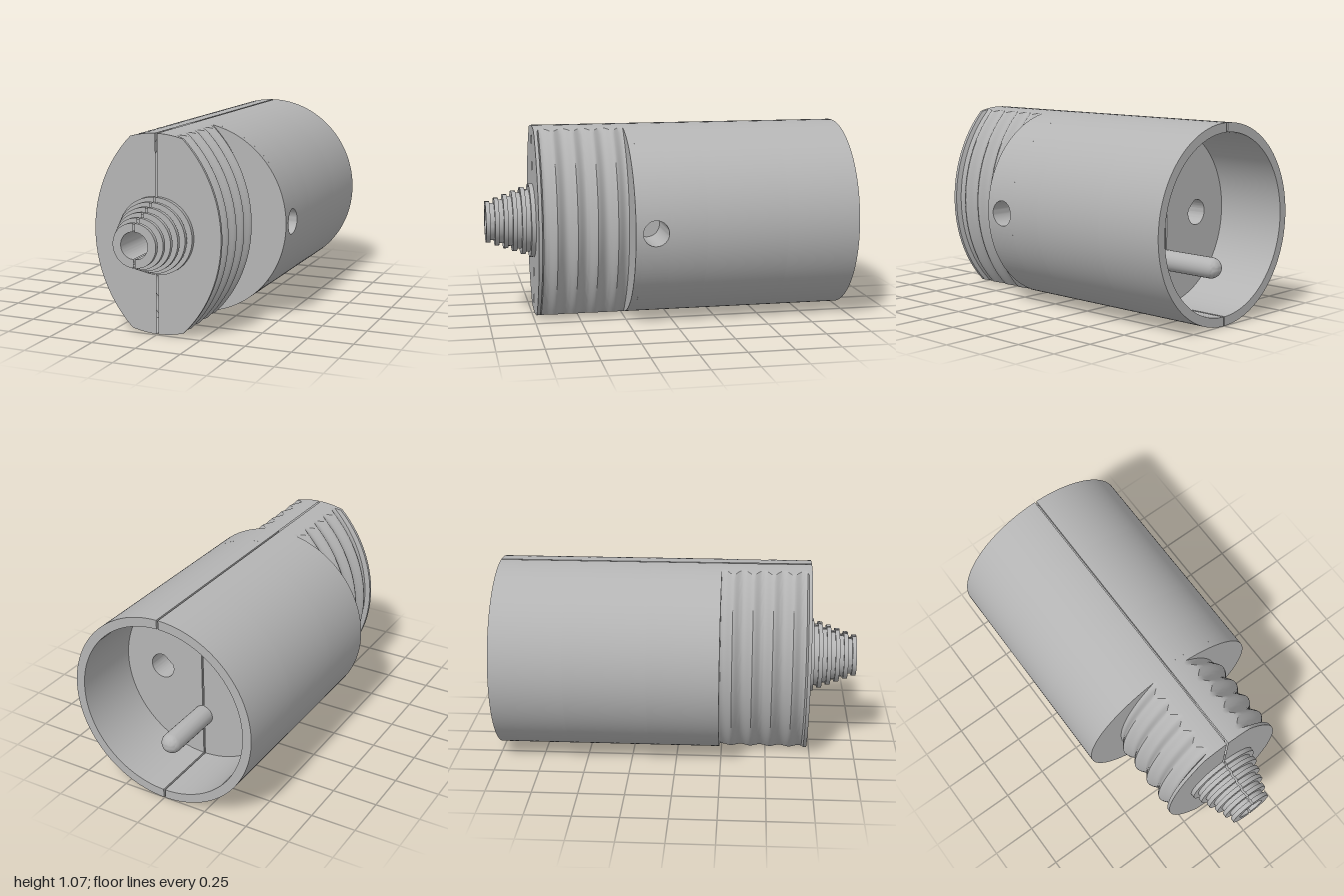
import * as THREE from 'three';
import { toCreasedNormals } from 'three/addons/utils/BufferGeometryUtils.js';

const R = 0.533;        // body radius
const G = 0.005;        // half width of the seam
const BORE = 0.07;      // cable, pin and screw hole radius
const FLOOR = -0.6;     // bottom of the rear recess
const SHOULDER = 0.24;  // where the grip starts
const FACE = 0.735;     // flat front face
const HOLE_Z = 0.13;    // side screw hole

const grey = new THREE.MeshStandardMaterial({ color: 0xb4b4b4, side: THREE.DoubleSide });
grey.name = 'grey plastic';

function add(parent, name, geometry, crease = 0.5) {
  const mesh = new THREE.Mesh(toCreasedNormals(geometry, crease), grey);
  mesh.name = name;
  parent.add(mesh);
  return mesh;
}

// Grid surface from a rule f(u, v) -> [x, y, z]
function sheet(f, nu, nv) {
  const pos = [], index = [];
  for (let j = 0; j <= nv; j++) for (let i = 0; i <= nu; i++) pos.push(...f(i / nu, j / nv));
  for (let j = 0; j < nv; j++) for (let i = 0; i < nu; i++) {
    const a = j * (nu + 1) + i, b = a + 1, c = a + nu + 1, d = c + 1;
    index.push(a, b, d, a, d, c);
  }
  const g = new THREE.BufferGeometry();
  g.setAttribute('position', new THREE.Float32BufferAttribute(pos, 3));
  g.setIndex(index);
  return g;
}

function halfDisc() {
  const a = Math.acos(G / R);
  return new THREE.Shape().absarc(0, 0, R, -a, a, false);
}

function slab(shape, z0, z1) {
  return new THREE.ExtrudeGeometry(shape, { depth: z1 - z0, bevelEnabled: false, curveSegments: 48 })
    .translate(0, 0, z0);
}

// Half outline of the grip from bottom to top, its side arc pushed in by d
function gripOutline(d) {
  const rho = 0.724, a = 0.364 + d;
  const cx = (rho * rho - R * R - a * a) / (2 * a);
  const cy = Math.sqrt(R * R - cx * cx);
  const t0 = Math.acos(G / R), t1 = Math.atan2(cy, cx), s = Math.atan2(cy, cx + a);
  const pts = [];
  for (let i = 0; i < 6; i++) {
    const t = -t0 + (t0 - t1) * i / 6;
    pts.push([R * Math.cos(t), R * Math.sin(t)]);
  }
  for (let i = 0; i <= 28; i++) {
    const t = -s + 2 * s * i / 28;
    pts.push([rho * Math.cos(t) - a, rho * Math.sin(t)]);
  }
  for (let i = 5; i >= 0; i--) pts.push([pts[i][0], -pts[i][1]]);
  return pts;
}

// Rounded finger grooves along the grip
function grooveDepth(z) {
  if (z > 0.715) return 0;
  return 0.034 * Math.pow(Math.abs(Math.cos(Math.PI * (z - 0.25) / 0.11)), 1.6);
}

function buildHalf(withScrewHole) {
  const half = new THREE.Group();

  // Rear sleeve around the recess
  const a = Math.acos(G / R), inner = 0.483, b = Math.acos(G / inner);
  const ring = new THREE.Shape().absarc(0, 0, R, -a, a, false).absarc(0, 0, inner, b, -b, true);
  add(half, 'rearSleeve', slab(ring, -1, FLOOR));

  // Socket block with its contact hole
  const socket = halfDisc();
  socket.holes.push(new THREE.Path().absarc(0.255, 0, BORE, 0, Math.PI * 2, true));
  add(half, 'socketBlock', slab(socket, FLOOR, -0.15));

  // Middle of the body, with a screw hole in one side
  if (withScrewHole) {
    const w = 0.075, t = Math.asin(w / R);
    add(half, 'middleRear', slab(halfDisc(), -0.15, HOLE_Z - w));
    const notched = new THREE.Shape().absarc(0, 0, R, -a, -t, false);
    notched.lineTo(0.25, -w);
    notched.lineTo(0.25, w);
    notched.absarc(0, 0, R, t, a, false);
    add(half, 'middleNotched', slab(notched, HOLE_Z - w, HOLE_Z + w));
    add(half, 'middleFront', slab(halfDisc(), HOLE_Z + w, SHOULDER));
    const onBody = (y, z) => [Math.sqrt(R * R - y * y), y, HOLE_Z + z];
    add(half, 'screwHoleSurround', sheet((u, v) => {
      const p = u * Math.PI * 2, c = Math.cos(p), s = Math.sin(p);
      const r = BORE + v * (w / Math.max(Math.abs(c), Math.abs(s)) - BORE);
      return onBody(r * s, r * c);
    }, 48, 2));
    add(half, 'screwHoleWall', sheet((u, v) => {
      const p = u * Math.PI * 2;
      const q = onBody(BORE * Math.sin(p), BORE * Math.cos(p));
      q[0] += v * (0.25 - q[0]);
      return q;
    }, 48, 1));
  } else {
    add(half, 'middle', slab(halfDisc(), -0.15, SHOULDER));
  }

  // Grooved grip
  const rows = 54, count = gripOutline(0).length;
  add(half, 'grip', sheet((u, v) => {
    const z = SHOULDER + v * (FACE - SHOULDER);
    const p = gripOutline(grooveDepth(z))[Math.round(u * (count - 1))];
    return [p[0], p[1], z];
  }, count - 1, rows), 0.7);

  // Flat front face around the bore
  const face = new THREE.Shape(gripOutline(0).map(p => new THREE.Vector2(p[0], p[1])));
  face.lineTo(G, BORE);
  face.absarc(G, 0, BORE, Math.PI / 2, -Math.PI / 2, true);
  add(half, 'frontFace', new THREE.ShapeGeometry(face, 24).translate(0, 0, FACE));

  // Ribbed cable nose with the bore running back into the grip
  const profile = [], step = (1 - FACE) / 11;
  for (let i = 0; i < 11; i++) {
    const r = 0.205 - 0.009 * i - (i % 2 ? 0.022 : 0);
    profile.push(new THREE.Vector2(r, FACE + i * step), new THREE.Vector2(r, FACE + (i + 1) * step));
  }
  profile.push(new THREE.Vector2(BORE, 1), new THREE.Vector2(BORE, SHOULDER));
  add(half, 'cableNose', new THREE.LatheGeometry(profile, 32, 0, Math.PI)
    .rotateX(Math.PI / 2).translate(G, 0, 0));

  return half;
}

export function createModel() {
  const model = new THREE.Group();
  model.name = 'plugSocket';
  const body = new THREE.Group();
  body.name = 'body';
  body.position.y = R;
  model.add(body);

  // Two halves either side of the seam
  const left = buildHalf(true);
  left.name = 'leftHalf';
  const right = buildHalf(false);
  right.name = 'rightHalf';
  right.scale.x = -1;
  body.add(left, right);

  // Recessed tongues closing the seam
  for (const s of [1, -1]) {
    const core = add(body, 'seamTongue', new THREE.BoxGeometry(2 * G, 0.44, 1.3));
    core.position.set(0, s * 0.295, 0.06);
    const lip = add(body, 'sleeveTongue', new THREE.BoxGeometry(2 * G, 0.02, 0.39));
    lip.position.set(0, s * 0.505, -0.785);
  }
  const web = add(body, 'seamWeb', new THREE.BoxGeometry(2 * G, 0.2, 0.82));
  web.position.set(0, 0, -0.18);

  // Round-ended earth pin in the recess
  const pin = add(body, 'earthPin', new THREE.CapsuleGeometry(0.056, 0.36, 10, 28).rotateX(Math.PI / 2));
  pin.position.set(0, -0.235, -0.73);

  return model;
}
